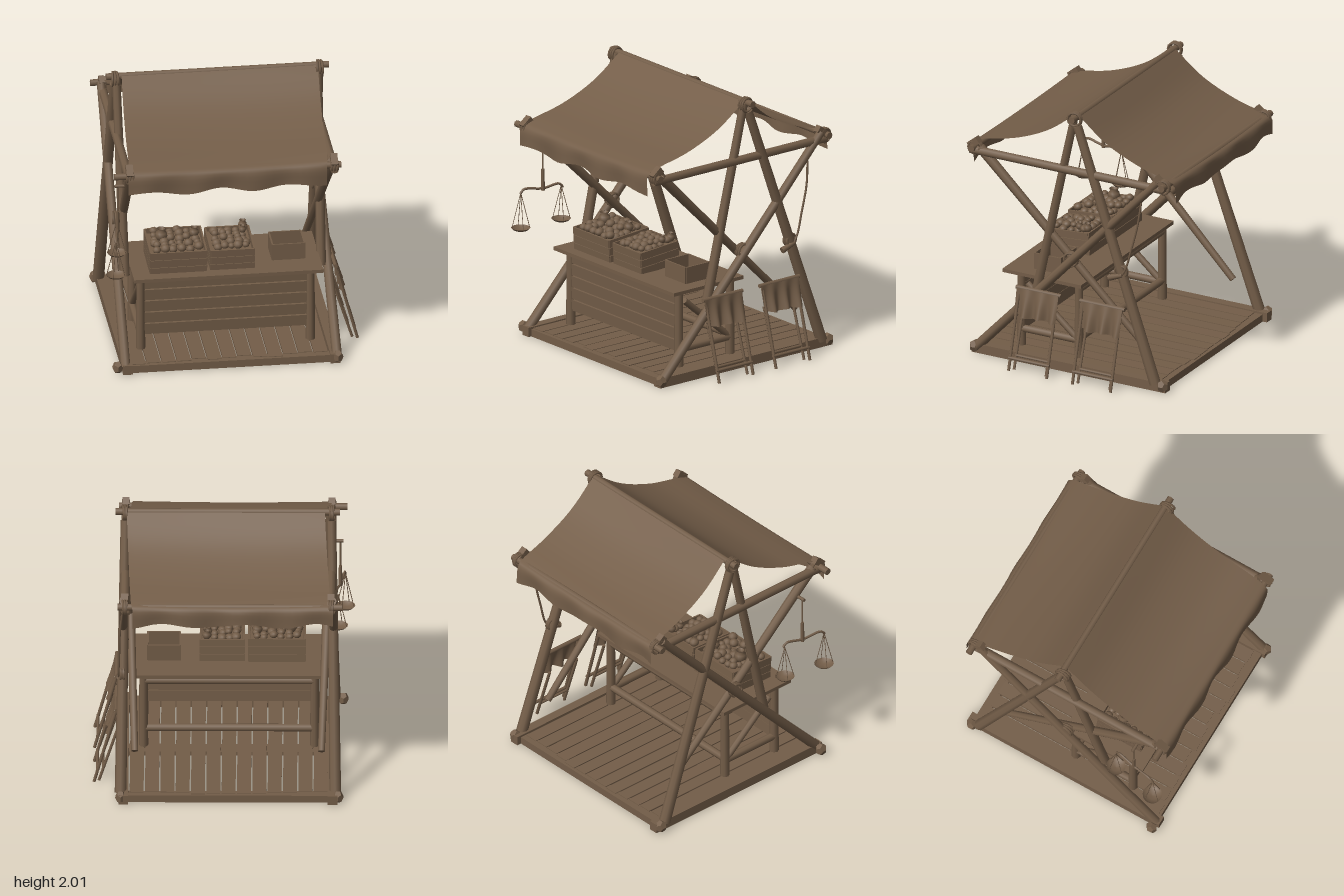
import * as THREE from 'three';

export function createModel() {
  const root = new THREE.Group();
  root.name = 'marketStall';
  const wood = new THREE.MeshStandardMaterial({ color: 0x735d48, side: THREE.DoubleSide });
  wood.name = 'weathered brown';

  let seed = 7;
  const rnd = () => (seed = (seed * 16807) % 2147483647) / 2147483647;
  const V = (p) => new THREE.Vector3(...p);

  const add = (geo, name, parent = root) => {
    const m = new THREE.Mesh(geo, wood);
    m.name = name;
    parent.add(m);
    return m;
  };
  const group = (name, parent = root) => {
    const g = new THREE.Group();
    g.name = name;
    parent.add(g);
    return g;
  };
  const box = (name, x0, x1, y0, y1, z0, z1, parent = root) => {
    const m = add(new THREE.BoxGeometry(x1 - x0, y1 - y0, z1 - z0), name, parent);
    m.position.set((x0 + x1) / 2, (y0 + y1) / 2, (z0 + z1) / 2);
    return m;
  };
  // Round timber between two points
  const pole = (name, a, b, r0, r1 = r0, parent = root, sides = 8) => {
    const p = V(a), q = V(b), d = q.clone().sub(p);
    const m = add(new THREE.CylinderGeometry(r1, r0, d.length(), sides), name, parent);
    m.position.copy(p).add(q).multiplyScalar(0.5);
    m.quaternion.setFromUnitVectors(new THREE.Vector3(0, 1, 0), d.normalize());
    return m;
  };
  // Rope wound round a joint
  const lashing = (x, y, z, r, tilt = 0) => {
    for (const k of [-1, 0, 1]) {
      const t = add(new THREE.TorusGeometry(r, 0.009, 5, 12), 'lashing');
      t.position.set(x + k * 0.015, y, z);
      t.rotation.set(tilt, Math.PI / 2 + k * 0.12, 0);
    }
  };

  // Floor: sills, edge beams, a centre joist and loose planks
  const floor = group('floor');
  for (const x of [-0.78, 0.71]) box('sill', x - 0.035, x + 0.035, 0, 0.07, -0.8, 0.78, floor);
  for (const z of [-0.73, 0.72]) box('edgeBeam', -0.78, 0.71, 0, 0.055, z - 0.035, z + 0.035, floor);
  box('joist', -0.75, 0.68, 0.005, 0.035, -0.06, 0.06, floor);
  const n = 13, pw = 1.42 / n;
  for (let i = 0; i < n; i++) {
    const x = -0.745 + i * pw;
    const p = box('floorPlank', x, x + pw - 0.01, 0.036, 0.06, -0.7 - rnd() * 0.05, 0.68 + rnd() * 0.06, floor);
    p.rotation.z = (rnd() - 0.5) * 0.05;
  }
  for (const [x, z] of [[-0.85, 0.74], [-0.82, -0.76], [0.73, 0.76], [0.73, -0.77]]) {
    const s = add(new THREE.DodecahedronGeometry(0.05), 'footStone', floor);
    s.scale.set(0.8, 0.95, 0.9);
    s.position.set(x, 0.045, z);
  }

  // Two side frames; "i" is the inward direction
  for (const [x, i] of [[-0.77, 1], [0.70, -1]]) {
    const f = group('sideFrame');
    pole('backLeg', [x - i * 0.03, 0.05, -0.71], [x, 1.9, -0.06], 0.042, 0.033, f);
    pole('frontLeg', [x + i * 0.03, 0.55, 0.29], [x + i * 0.01, 1.96, -0.03], 0.036, 0.03, f);
    pole('risingBrace', [x - i * 0.025, 0.04, 0.75], [x - i * 0.01, 1.6, -0.72], 0.036, 0.03, f);
    pole('fallingBrace', [x + i * 0.07, 0.3, -0.55], [x + i * 0.01, 1.57, 0.74], 0.025, 0.037, f);
    pole('sideRail', [x, 1.545, -0.77], [x, 1.545, 0.81], 0.032, 0.032, f);
    lashing(x, 1.95, -0.04, 0.05);
    lashing(x, 1.57, 0.77, 0.05);
    lashing(x, 1.57, -0.76, 0.05);
    lashing(x, 0.86, -0.01, 0.05);
    for (const [z, s] of [[0.78, 1], [-0.73, 1]]) {
      const p = box('railPeg', x - 0.025, x + 0.025, 1.56, 1.65, z - 0.025, z + 0.025, f);
      p.rotation.x = -0.9 * s * Math.sign(z);
    }
  }

  // Long bars carrying the awning
  pole('ridgeBar', [-0.83, 1.965, -0.05], [0.77, 1.965, -0.05], 0.025);
  pole('frontBar', [-0.88, 1.57, 0.78], [0.75, 1.57, 0.78], 0.025);
  pole('backBar', [-0.85, 1.575, -0.77], [0.75, 1.575, -0.77], 0.025);

  // Awning: a sagging profile swept across, with wavy hanging hems
  const halves = {
    frontAwning: [[-0.05, 1.99], [0.19, 1.81], [0.46, 1.69], [0.74, 1.62], [0.815, 1.585], [0.825, 1.44]],
    backAwning: [[-0.05, 1.99], [-0.28, 1.80], [-0.55, 1.67], [-0.76, 1.605], [-0.815, 1.575], [-0.825, 1.45]],
  };
  for (const [name, prof] of Object.entries(halves)) {
    const curve = new THREE.CatmullRomCurve3(prof.map(([z, y]) => new THREE.Vector3(0, y, z)));
    const geo = new THREE.PlaneGeometry(1, 1, 30, 24), pos = geo.attributes.position;
    for (let k = 0; k < pos.count; k++) {
      const u = pos.getX(k) + 0.5, v = 0.5 - pos.getY(k), c = curve.getPoint(v);
      const left = -0.72 - 0.065 * Math.min(1, v * 1.25), right = 0.69 - 0.045 * Math.min(1, v * 1.25);
      const hem = Math.max(0, v - 0.8) * 5;
      pos.setXYZ(k, left + (right - left) * u,
        c.y + hem * 0.016 * Math.sin(u * 17) - 0.012 * Math.sin(u * Math.PI) * Math.sin(v * Math.PI),
        c.z + hem * 0.012 * Math.sin(u * 23));
    }
    if (name === 'backAwning') geo.index.array.reverse();
    geo.computeVertexNormals();
    add(geo, name);
  }

  // Counter
  const counter = group('counter');
  box('counterTop', -0.71, 0.65, 0.622, 0.648, -0.06, 0.58, counter);
  for (const x of [-0.65, 0.57]) {
    for (const z of [0.47, 0]) pole('counterLeg', [x, 0.05, z], [x, 0.625, z], 0.034, 0.03, counter);
    pole('counterSideRail', [x, 0.185, 0], [x, 0.185, 0.47], 0.028, 0.028, counter);
    pole('counterBrace', [x, 0.54, 0.42], [x, 0.2, 0.02], 0.024, 0.024, counter);
  }
  pole('counterBackRail', [-0.65, 0.2, 0], [0.57, 0.2, 0], 0.028, 0.028, counter);
  pole('counterUpperRail', [-0.65, 0.58, 0], [0.57, 0.58, 0], 0.028, 0.028, counter);
  for (let i = 0; i < 5; i++) {
    const y = 0.17 + i * 0.089;
    const p = box('frontPlank', -0.63, 0.55, y, y + 0.082, 0.46, 0.482, counter);
    p.rotation.x = 0.06;
  }

  // Open crate made of slats, optionally heaped with produce
  const crate = (name, x, z, w, d, h, slats, tilt, heap) => {
    const g = group(name);
    g.position.set(x, 0.65, z);
    g.rotation.x = tilt;
    const t = 0.012, sh = h / slats;
    box('crateBase', -w / 2, w / 2, 0, t, -d / 2, d / 2, g);
    for (let i = 0; i < slats; i++) {
      const y0 = i * sh, y1 = y0 + sh * 0.94;
      for (const s of [-1, 1]) {
        box('crateSlat', -w / 2, w / 2, y0, y1, s * d / 2 - t / 2, s * d / 2 + t / 2, g);
        box('crateSlat', s * w / 2 - t / 2, s * w / 2 + t / 2, y0, y1, -d / 2, d / 2, g);
      }
    }
    if (heap) {
      box('crateFill', -w / 2 + t, w / 2 - t, t, h * 0.8, -d / 2 + t, d / 2 - t, g);
      const nx = Math.round(w / 0.062), nz = Math.round(d / 0.062);
      for (let a = 0; a < nx; a++) for (let b = 0; b < nz; b++) {
        const f = add(new THREE.IcosahedronGeometry(0.024 + rnd() * 0.012, 1), 'produce', g);
        f.position.set(((a + 0.5) / nx - 0.5) * (w - 0.05) + (rnd() - 0.5) * 0.015,
          h * 0.9 + rnd() * 0.03, ((b + 0.5) / nz - 0.5) * (d - 0.05));
        f.scale.y = 0.85;
      }
    }
    return g;
  };
  crate('largeCrate', -0.38, 0.31, 0.4, 0.36, 0.18, 3, 0.07, true);
  crate('mediumCrate', 0.01, 0.31, 0.31, 0.34, 0.17, 3, 0.07, true);
  crate('smallBox', 0.425, 0.275, 0.23, 0.21, 0.13, 1, 0, false);

  // Jars standing among the produce
  const jarProfile = [[0, 0], [0.03, 0], [0.045, 0.03], [0.04, 0.055], [0.026, 0.07], [0.034, 0.085], [0.026, 0.085], [0.018, 0.06]]
    .map(([r, y]) => new THREE.Vector2(r, y));
  for (const [x, z, s] of [[-0.48, 0.3, 1], [-0.24, 0.27, 0.8], [0.11, 0.25, 0.6], [0.12, 0.18, 0.7]]) {
    const j = add(new THREE.LatheGeometry(jarProfile, 14), 'jar');
    j.position.set(x, 0.825, z);
    j.scale.setScalar(s);
  }

  // Hanging balance with two pans
  const scale = group('balance');
  const sx = -0.83;
  pole('hangerArm', [-0.76, 1.4, 0.58], [-0.85, 1.4, 0.58], 0.012, 0.012, scale);
  pole('hangerRope', [sx, 1.4, 0.58], [sx, 1.2, 0.58], 0.006, 0.006, scale, 5);
  pole('hangerStem', [sx, 1.2, 0.58], [sx, 1.04, 0.58], 0.012, 0.014, scale);
  const beam = new THREE.CatmullRomCurve3([[-0.865, 1.04, 0.76], [-0.86, 1.07, 0.73], [sx, 1.055, 0.58], [-0.805, 1.07, 0.45], [-0.80, 1.04, 0.42]].map(V));
  add(new THREE.TubeGeometry(beam, 20, 0.009, 6), 'balanceBeam', scale);
  const panProfile = [[0, 0], [0.03, 0.003], [0.055, 0.013], [0.07, 0.028]].map(([r, y]) => new THREE.Vector2(r, y));
  for (const [x, z, y] of [[-0.865, 0.755, 0.76], [-0.815, 0.425, 0.775]]) {
    add(new THREE.LatheGeometry(panProfile, 16), 'pan', scale).position.set(x, y, z);
    for (let k = 0; k < 4; k++) {
      const a = k * Math.PI / 2 + 0.4;
      pole('panCord', [x + 0.066 * Math.cos(a), y + 0.026, z + 0.066 * Math.sin(a)], [x, 1.05, z], 0.003, 0.003, scale, 4);
    }
  }

  // Slack rope with a hook on the far side
  const rope = new THREE.CatmullRomCurve3([[0.72, 1.42, -0.59], [0.735, 1.25, -0.57], [0.74, 1.05, -0.52], [0.745, 0.88, -0.47], [0.745, 0.82, -0.42], [0.74, 0.81, -0.35]].map(V));
  add(new THREE.TubeGeometry(rope, 24, 0.008, 5), 'hangingRope');
  pole('ropeHandle', [0.74, 0.8, -0.34], [0.745, 0.84, -0.45], 0.024, 0.016);
  lashing(0.72, 0.86, -0.43, 0.045, 0.3);

  // Folded stools leaning on the frame
  for (const zc of [0.225, -0.295]) {
    const s = group('foldedStool');
    for (const k of [-1, 1]) {
      pole('outerLeg', [0.92, 0, zc + k * 0.155], [0.76, 0.585, zc + k * 0.155], 0.012, 0.012, s, 6);
      pole('innerLeg', [0.885, 0, zc + k * 0.13], [0.75, 0.42, zc + k * 0.13], 0.011, 0.011, s, 6);
    }
    pole('topRail', [0.76, 0.585, zc - 0.185], [0.76, 0.585, zc + 0.18], 0.016, 0.016, s, 6);
    pole('lowerRung', [0.897, 0.09, zc - 0.165], [0.897, 0.09, zc + 0.165], 0.012, 0.012, s, 6);
    pole('innerRung', [0.855, 0.1, zc - 0.13], [0.855, 0.1, zc + 0.13], 0.01, 0.01, s, 6);
    // Slack seat cloth with soft folds
    const geo = new THREE.PlaneGeometry(0.34, 0.2, 32, 6), pos = geo.attributes.position;
    for (let k = 0; k < pos.count; k++) {
      const u = pos.getX(k), v = 0.1 - pos.getY(k);
      pos.setXYZ(k, 0.775 + v * 0.2 + v * 0.13 * Math.sin(u * 55), 0.585 - v + 0.008 * Math.sin(u * 40) * v * 5, zc - u);
    }
    geo.computeVertexNormals();
    add(geo, 'seatCloth', s);
  }
  return root;
}
